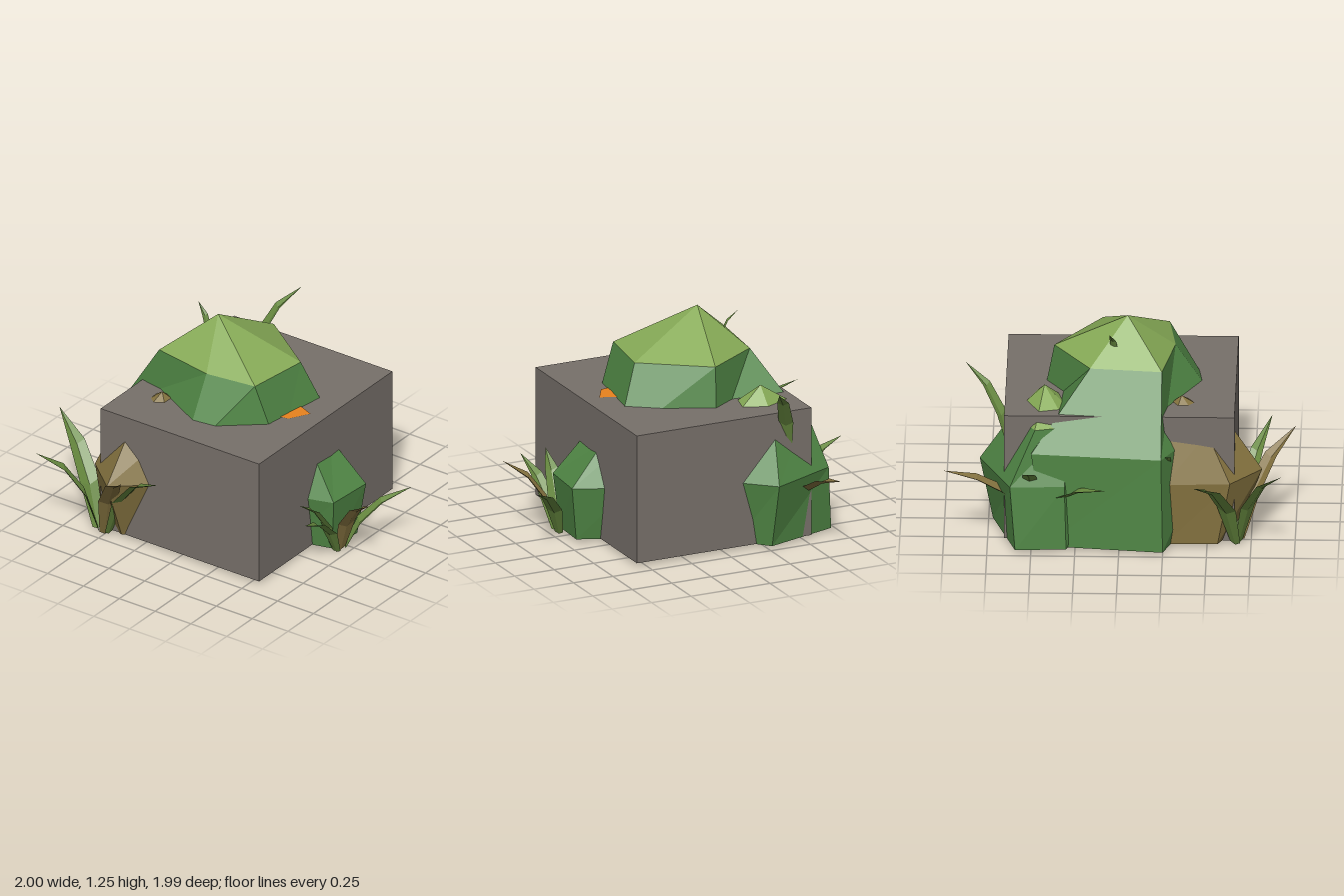
import * as THREE from 'three';

const material = (color) => new THREE.MeshStandardMaterial({ color, flatShading: true, side: THREE.DoubleSide });
const STONE = material(0x77706a), LEAF = material(0x4f8544), TIP = material(0x86aa56);
const GRASS = material(0x67893f), DRY = material(0x84723f), ORANGE = material(0xe8821e);

function mesh(positions, mat, name) {
  const g = new THREE.BufferGeometry();
  g.setAttribute('position', new THREE.Float32BufferAttribute(positions, 3));
  g.computeVertexNormals();
  const m = new THREE.Mesh(g, mat);
  m.name = name;
  return m;
}

// Faceted bush: a pointed cap above stacked rings of [x, z], each ring at its own height
function bush(name, apex, heights, rings, bodyMat, capMat) {
  const group = new THREE.Group();
  group.name = name;
  const loops = rings.map((ring, k) => ring.map(([x, z]) => [x, heights[k], z]));
  const n = rings[0].length, cap = [], body = [];
  for (let i = 0; i < n; i++) {
    const j = (i + 1) % n;
    cap.push(...loops[0][i], ...apex, ...loops[0][j]);
    for (let k = 0; k + 1 < loops.length; k++) {
      const up = loops[k], low = loops[k + 1];
      body.push(...low[i], ...up[i], ...low[j], ...low[j], ...up[i], ...up[j]);
    }
    const base = loops[loops.length - 1];
    if (i > 0 && i < n - 1) body.push(...base[0], ...base[i], ...base[j]);
  }
  group.add(mesh(cap, capMat, name + 'Cap'), mesh(body, bodyMat, name + 'Body'));
  return group;
}

// Folded blade of grass that rises and then bends out to its tip
function blade(root, tip, mat, width = 0.1) {
  const a = new THREE.Vector3(...root), c = new THREE.Vector3(...tip);
  const b = a.clone().lerp(c, 0.22).setY(a.y + (c.y - a.y) * 0.8);
  const curve = new THREE.QuadraticBezierCurve3(a, b, c);
  const side = new THREE.Vector3(-(c.z - a.z), 0, c.x - a.x).normalize();
  const widths = [0.5, 0.95, 0.75, 0];
  const rows = widths.map((w, k) => {
    const p = curve.getPoint(k / 3), off = side.clone().multiplyScalar(w * width / 2);
    const fold = p.clone();
    fold.y -= w * width * 0.25;
    return [p.clone().add(off), fold, p.clone().sub(off)];
  });
  const pos = [];
  for (let k = 0; k < 3; k++) {
    for (let s = 0; s < 2; s++) {
      const [p, q, r, t] = [rows[k][s], rows[k][s + 1], rows[k + 1][s], rows[k + 1][s + 1]];
      for (const v of [p, q, r, q, t, r]) pos.push(v.x, v.y, v.z);
    }
  }
  return mesh(pos, mat, 'grassBlade');
}

function tuft(name, blades) {
  const group = new THREE.Group();
  group.name = name;
  blades.forEach((args) => group.add(blade(...args)));
  return group;
}

export function createModel() {
  const model = new THREE.Group();
  model.name = 'overgrownStoneBlock';

  // Stone block
  const block = new THREE.Mesh(new THREE.BoxGeometry(1.31, 0.768, 1.105), STONE);
  block.name = 'stoneBlock';
  block.position.y = 0.386;
  model.add(block);

  // Large bush growing over the top and down the back
  model.add(bush('mainBush', [-0.04, 1.23, -0.17], [1, 0.57, 0], [
    [[0.38, -0.08], [0.11, 0.3], [-0.27, 0.25], [-0.31, -0.06], [-0.24, -0.44], [0.17, -0.4]],
    [[0.46, -0.05], [0.22, 0.47], [-0.23, 0.4], [-0.59, -0.04], [-0.24, -0.71], [0.5, -0.64]],
    [[0.4, -0.05], [0.2, 0.4], [-0.2, 0.36], [-0.5, -0.04], [-0.25, -0.725], [0.42, -0.65]],
  ], LEAF, TIP));

  // Bush over the left back corner
  model.add(bush('leftBush', [0.43, 0.87, -0.34], [0.7, 0.38, 0], [
    [[0.6, -0.34], [0.51, -0.11], [0.3, -0.16], [0.24, -0.4], [0.29, -0.55], [0.48, -0.6]],
    [[0.8, -0.28], [0.6, -0.06], [0.24, -0.08], [0.14, -0.4], [0.31, -0.67], [0.62, -0.68]],
    [[0.725, -0.27], [0.56, -0.12], [0.26, -0.12], [0.18, -0.4], [0.3, -0.69], [0.59, -0.71]],
  ], LEAF, TIP));

  // Dry bush over the right back corner
  model.add(bush('dryBush', [-0.35, 0.81, -0.34], [0.66, 0.38, 0], [
    [[-0.16, -0.34], [-0.25, -0.17], [-0.5, -0.18], [-0.62, -0.38], [-0.5, -0.53], [-0.28, -0.54]],
    [[-0.08, -0.33], [-0.2, -0.08], [-0.6, -0.15], [-0.81, -0.4], [-0.63, -0.61], [-0.26, -0.63]],
    [[-0.12, -0.33], [-0.22, -0.12], [-0.52, -0.18], [-0.665, -0.4], [-0.56, -0.6], [-0.26, -0.61]],
  ], DRY, DRY));

  // Small bush at the front
  model.add(bush('frontBush', [0.04, 0.69, 0.36], [0.56, 0.32, 0], [
    [[0.18, 0.38], [0.12, 0.5], [-0.07, 0.51], [-0.12, 0.38], [0.03, 0.25]],
    [[0.3, 0.42], [0.16, 0.72], [-0.13, 0.7], [-0.22, 0.4], [0.04, 0.18]],
    [[0.24, 0.42], [0.13, 0.68], [-0.1, 0.67], [-0.17, 0.4], [0.04, 0.22]],
  ], LEAF, LEAF));

  // Flat orange petal on the block
  model.add(mesh([-0.15, 0.775, 0.32, -0.14, 0.775, 0.39, -0.02, 0.775, 0.46,
    -0.15, 0.775, 0.32, -0.02, 0.775, 0.46, 0.03, 0.775, 0.34], ORANGE, 'petal'));

  // Grass tufts
  model.add(tuft('frontGrass', [
    [[-0.1, 0, 0.7], [-0.47, 0.34, 0.74], GRASS],
    [[-0.1, 0, 0.68], [-0.37, 0.39, 0.63], GRASS],
    [[-0.06, 0, 0.7], [-0.19, 0.42, 0.99], DRY, 0.12],
    [[-0.03, 0, 0.71], [0.24, 0.35, 0.985], GRASS],
  ]));
  model.add(tuft('rightBackGrass', [
    [[-0.66, 0, -0.57], [-0.43, 0.53, -1], GRASS, 0.13],
    [[-0.68, 0, -0.55], [-0.93, 0.52, -0.81], GRASS, 0.12],
    [[-0.69, 0, -0.5], [-1, 0.55, -0.17], DRY, 0.12],
    [[-0.68, 0, -0.48], [-0.86, 0.54, -0.01], GRASS],
  ]));
  model.add(tuft('leftBackGrass', [
    [[0.58, 0.2, -0.52], [1, 0.43, -0.57], DRY, 0.12],
    [[0.62, 0.5, -0.42], [0.88, 0.96, -0.24], GRASS, 0.09],
    [[0.5, 0.25, -0.56], [0.52, 0.52, -0.81], GRASS],
    [[0.42, 0.2, -0.58], [0.07, 0.43, -0.83], GRASS],
  ]));
  model.add(tuft('topGrass', [
    [[0.02, 0.9, -0.25], [0.06, 1.2, -0.38], GRASS, 0.05],
    [[-0.27, 0.45, -0.58], [-0.28, 0.6, -0.73], GRASS, 0.05],
  ]));
  return model;
}
